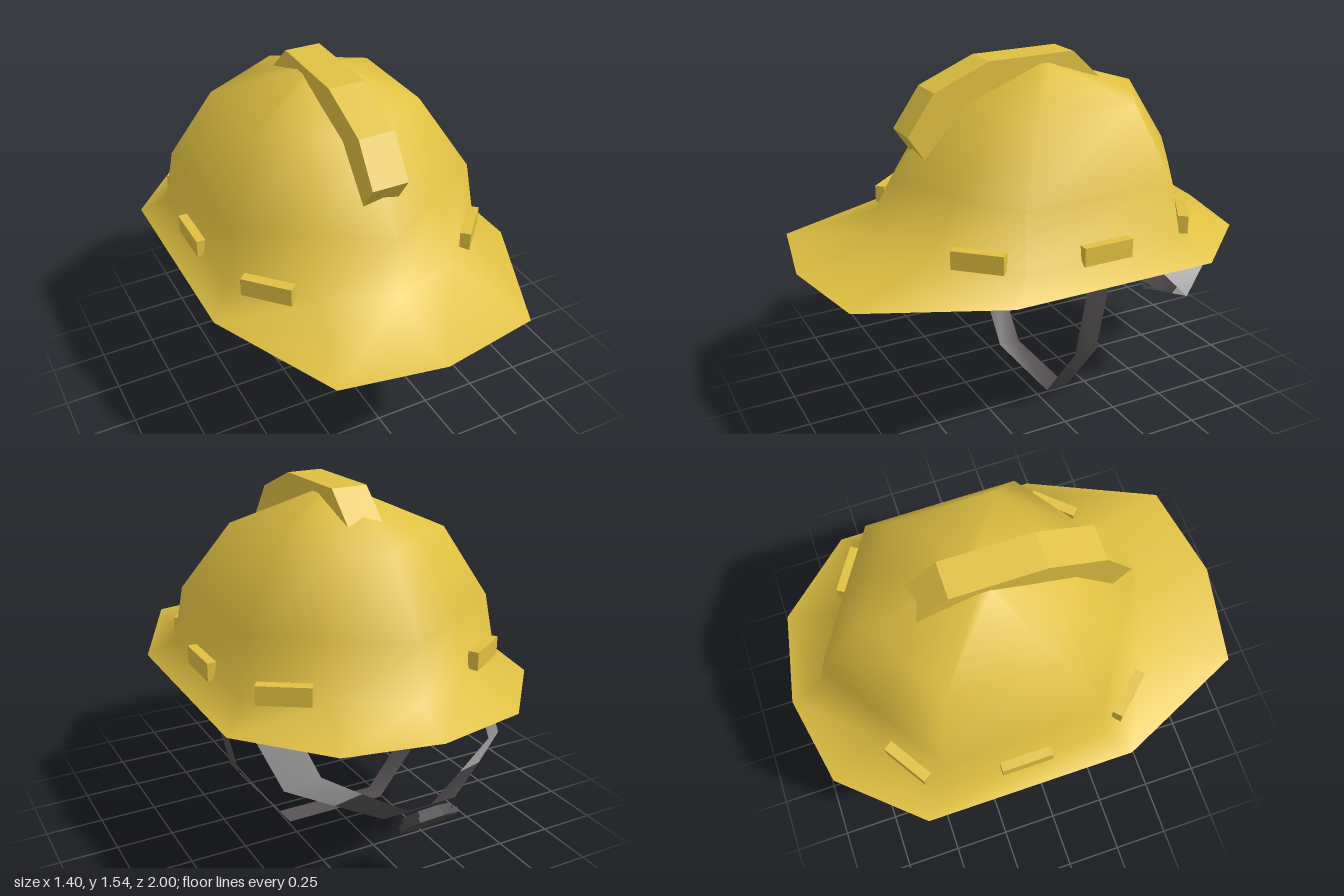
import * as THREE from 'three';

const mat = (name, color, side = THREE.FrontSide) => {
  const m = new THREE.MeshStandardMaterial({ color, side });
  m.name = name;
  return m;
};

export function createModel() {
  const yellow = mat('shell yellow', 0xdfc042);
  const lightGrey = mat('light grey webbing', 0xd0d0d0, THREE.DoubleSide);
  const darkGrey = mat('dark grey webbing', 0x575253, THREE.DoubleSide);
  const charcoal = mat('charcoal knob', 0x4a4a4a);

  const model = new THREE.Group();
  model.name = 'hardHat';
  const add = (name, geometry, material) => {
    const mesh = new THREE.Mesh(geometry, material);
    mesh.name = name;
    model.add(mesh);
    return mesh;
  };
  const indexed = (points, index) => {
    const g = new THREE.BufferGeometry();
    g.setAttribute('position', new THREE.Float32BufferAttribute(points.flat(), 3));
    g.setIndex(index);
    g.computeVertexNormals();
    return g;
  };

  // Half of a ring from front to back, mirrored into ten points
  const ring = (y, half) => {
    const right = half.map(([x, z]) => [x, y, z]);
    const left = half.slice(1, -1).reverse().map(([x, z]) => [-x, y, z]);
    return [...right, ...left];
  };
  const rings = [
    ring(0.725, [[0, 1], [0.44, 0.92], [0.7, 0.35], [0.7, -0.58], [0.4, -0.92], [0, -1]]),
    ring(0.82, [[0, 0.63], [0.31, 0.54], [0.6, 0.25], [0.6, -0.48], [0.3, -0.67], [0, -0.855]]),
    ring(1.06, [[0, 0.58], [0.28, 0.41], [0.56, 0.235], [0.56, -0.455], [0.28, -0.63], [0, -0.8]]),
    ring(1.36, [[0, 0.32], [0.19, 0.205], [0.385, 0.09], [0.385, -0.37], [0.19, -0.485], [0, -0.6]]),
    ring(1.5, [[0, -0.06], [0.04, -0.07], [0.08, -0.085], [0.08, -0.135], [0.04, -0.15], [0, -0.16]]),
  ];

  // Dome and brim in one smooth skin
  const n = 10;
  const points = rings.flat();
  const index = [];
  for (let r = 0; r < rings.length - 1; r++) {
    for (let i = 0; i < n; i++) {
      const a = r * n + i, b = r * n + (i + 1) % n;
      index.push(a, b, b + n, a, b + n, a + n);
    }
  }
  const top = points.length;
  points.push([0, 1.502, -0.11]);
  for (let i = 0; i < n; i++) index.push(top, top - n + i, top - n + (i + 1) % n);
  add('shell', indexed(points, index), yellow);

  // Flat underside
  const under = [];
  for (let i = 0; i < n; i++) under.push(n, (i + 1) % n, i);
  add('underside', indexed([...rings[0], [0, 0.725, 0]], under), yellow);

  // Crown ridge: side profile extruded across x
  const profile = [[0.52, 1.26], [0.4, 1.43], [0.15, 1.535], [-0.25, 1.54], [-0.4, 1.4], [0.1, 1.2], [0.4, 1.08]];
  const ridge = new THREE.ExtrudeGeometry(
    new THREE.Shape(profile.map(([z, y]) => new THREE.Vector2(-z, y))),
    { depth: 0.16, bevelEnabled: false });
  ridge.translate(0, 0, -0.08).rotateY(Math.PI / 2);
  add('crownRidge', ridge, yellow);

  // Clips around the wall
  for (const s of [1, -1]) {
    const clips = [
      ['sideClip', 0.605, 0.84, -0.11, Math.PI / 2, 0.225, 0.05],
      ['frontClip', 0.48, 0.85, 0.4, 0.82, 0.22, 0.045],
      ['backClip', 0.462, 0.855, -0.587, Math.PI - 0.57, 0.22, 0.045],
    ];
    for (const [name, x, y, z, turn, length, depth] of clips) {
      const clip = add(name, new THREE.BoxGeometry(length, 0.08, depth), yellow);
      clip.position.set(s * x, y, z);
      clip.rotation.y = s * turn;
    }
  }

  // Thin webbing from pairs of edge points
  const ribbon = (pairs) => {
    const idx = [];
    for (let i = 0; i < pairs.length - 1; i++) {
      const a = 2 * i;
      idx.push(a, a + 2, a + 3, a, a + 3, a + 1);
    }
    return indexed(pairs.flat(), idx);
  };
  const mirror = (pairs) => pairs.map((p) => p.map(([x, y, z]) => [-x, y, z])).reverse();

  // Chin strap
  const chin = [[0.58, 0.725], [0.48, 0.31], [0.24, 0], [-0.24, 0], [-0.48, 0.31], [-0.58, 0.725]];
  add('chinStrap', ribbon(chin.map(([x, y]) => [[x, y, -0.055], [x, y, -0.16]])), darkGrey);

  // Nape band: light arms and a dark middle
  const arm = [
    [[0.565, 0.725, -0.36], [0.445, 0.725, -0.65]],
    [[0.49, 0.465, -0.63], [0.41, 0.585, -0.79]],
    [[0.3, 0.382, -0.695], [0.27, 0.51, -0.855]],
  ];
  const middle = [arm[2], [[0.11, 0.3, -0.755], [0.11, 0.43, -0.925]]];
  add('napeArm', ribbon(arm), lightGrey);
  add('napeArm', ribbon(mirror(arm)), lightGrey);
  add('napeBand', ribbon([...middle, ...mirror(middle)]), darkGrey);

  // Octagonal adjusting knob in two steps
  const knob = new THREE.Group();
  knob.name = 'adjustingKnob';
  for (const [name, radius, height, y] of [['knobBase', 0.105, 0.025, -0.015], ['knobDial', 0.128, 0.022, 0.008]]) {
    const g = new THREE.CylinderGeometry(radius, radius, height, 8).toNonIndexed();
    g.computeVertexNormals();
    const mesh = new THREE.Mesh(g, charcoal);
    mesh.name = name;
    mesh.position.y = y;
    knob.add(mesh);
  }
  knob.position.set(-0.028, 0.328, -0.867);
  knob.quaternion.setFromUnitVectors(new THREE.Vector3(0, 1, 0), new THREE.Vector3(0, -0.74, -0.67).normalize());
  model.add(knob);

  return model;
}
